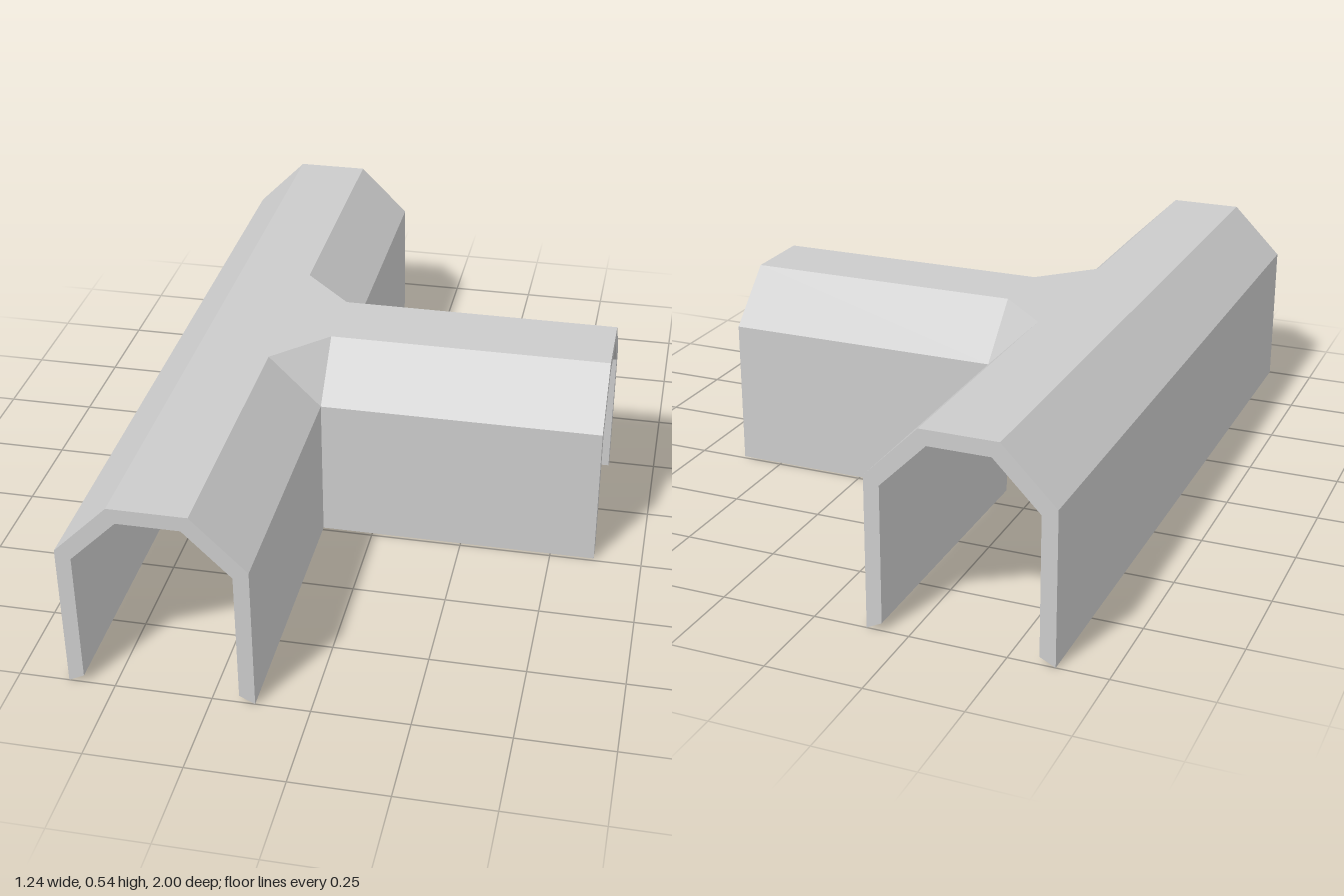
import * as THREE from 'three';

const MAIN_X = -0.38;   // centre line of the long tunnel (runs along z)
const BRANCH_END = 0.62; // mouth of the side tunnel (runs along +x)
const MAIN_END = 1;

// Outline points of one skin, for the half with z >= 0.
// h: half width, w: half width of the flat roof, yb / ys / yt: foot, shoulder, roof height
function skinPoints({ h, w, yb, ys, yt }) {
  const section = (side, z) => [
    [MAIN_X + side * h, yb, z], [MAIN_X + side * h, ys, z], [MAIN_X + side * w, yt, z],
  ];
  return {
    farMid: section(-1, 0),
    farEnd: section(-1, MAIN_END),
    nearEnd: section(1, MAIN_END),
    cornerMain: [[MAIN_X + h, yb, h], [MAIN_X + h, ys, h], [MAIN_X + w, yt, h]],
    cornerBranch: [[MAIN_X + h, yb, h], [MAIN_X + h, ys, h], [MAIN_X + h, yt, w]],
    branchEnd: [[BRANCH_END, yb, h], [BRANCH_END, ys, h], [BRANCH_END, yt, w]],
    branchMid: [BRANCH_END, yt, 0],
  };
}

// Fan-fills convex or star-shaped polygons and mirrors each across z = 0
function buildMesh(name, polygons, flip = false) {
  const positions = [];
  for (const pts of polygons) {
    for (let i = 1; i < pts.length - 1; i++) {
      let tri = [pts[0], pts[i], pts[i + 1]];
      if (flip) tri = tri.reverse();
      for (const p of tri) positions.push(...p);
      for (const [x, y, z] of [...tri].reverse()) positions.push(x, y, -z);
    }
  }
  const geometry = new THREE.BufferGeometry();
  geometry.setAttribute('position', new THREE.Float32BufferAttribute(positions, 3));
  geometry.computeVertexNormals();
  const material = new THREE.MeshStandardMaterial({ color: 0xcccccc, flatShading: true });
  const mesh = new THREE.Mesh(geometry, material);
  mesh.name = name;
  return mesh;
}

// Quads between two matching polylines
const strip = (a, b) => a.slice(1).map((_, i) => [a[i], b[i], b[i + 1], a[i + 1]]);

// Walls, sloped shoulders, corner facet and flat roof of one skin
function skinPolygons(s) {
  return [
    ...strip(s.farMid, s.farEnd),
    ...strip(s.nearEnd, s.cornerMain),
    ...strip(s.cornerBranch, s.branchEnd),
    [s.cornerMain[2], s.cornerMain[1], s.cornerBranch[2]],
    [s.farMid[2], s.farEnd[2], s.nearEnd[2], s.cornerMain[2],
      s.cornerBranch[2], s.branchEnd[2], s.branchMid],
  ];
}

export function createModel() {
  const group = new THREE.Group();
  group.name = 'tunnelJunction';

  const outer = skinPoints({ h: 0.24, w: 0.10, yb: 0, ys: 0.40, yt: 0.54 });
  const inner = skinPoints({ h: 0.20, w: 0.08, yb: 0.02, ys: 0.38, yt: 0.50 });

  group.add(buildMesh('outerShell', skinPolygons(outer)));
  group.add(buildMesh('innerShell', skinPolygons(inner), true));

  // Rims around the tunnel mouths
  const mainMouth = (s) => [...s.farEnd, ...[...s.nearEnd].reverse()];
  const branchMouth = (s) => [...s.branchEnd, s.branchMid];
  group.add(buildMesh('mainMouthRims', strip(mainMouth(outer), mainMouth(inner))));
  group.add(buildMesh('branchMouthRim', strip(branchMouth(outer), branchMouth(inner))));

  // Bevelled feet of the walls
  const farFoot = (s) => [s.farMid[0], s.farEnd[0]];
  const nearFoot = (s) => [s.nearEnd[0], s.cornerMain[0], s.branchEnd[0]];
  group.add(buildMesh('wallFeet', [
    ...strip(farFoot(outer), farFoot(inner)),
    ...strip(nearFoot(outer), nearFoot(inner)),
  ]));

  return group;
}
